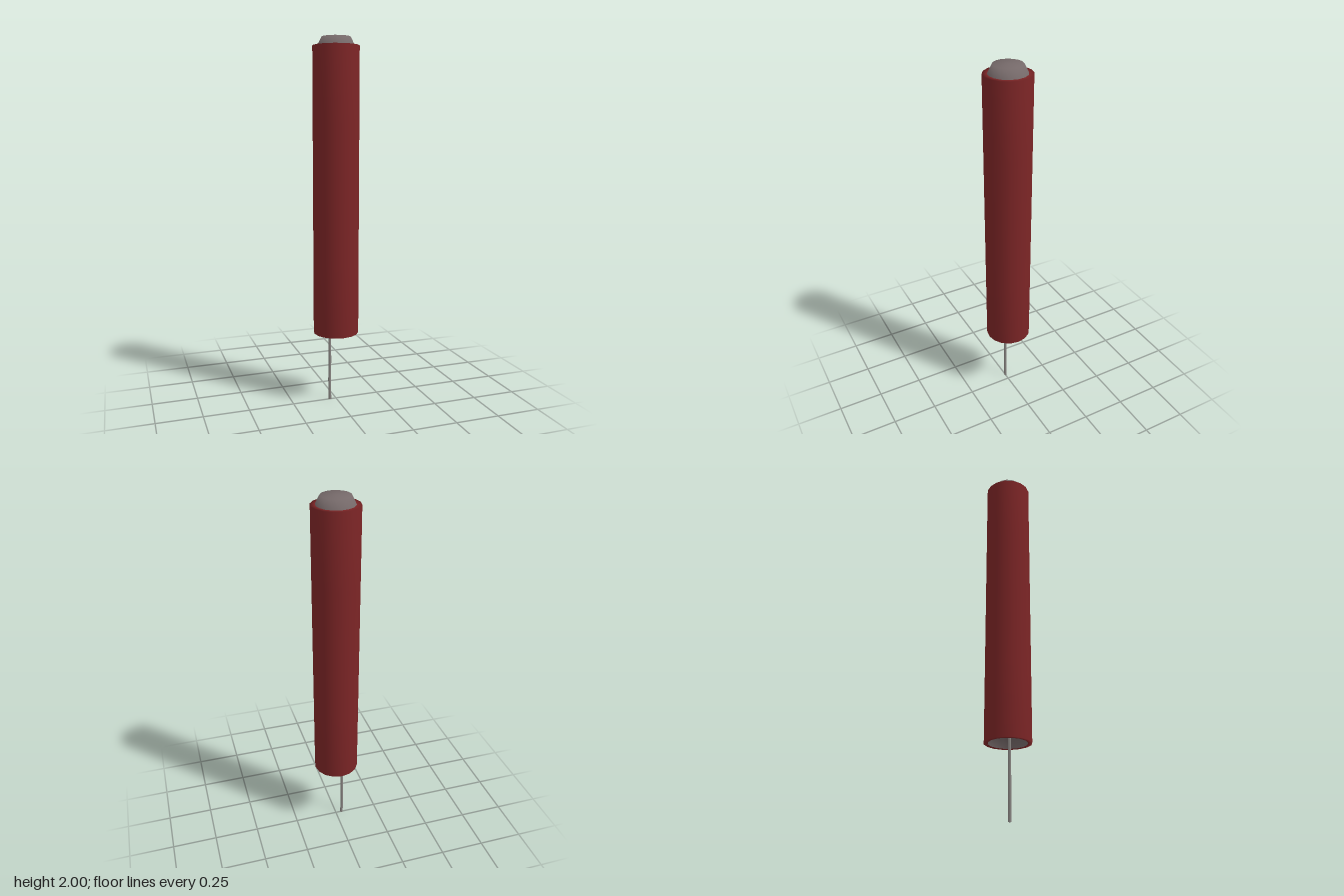
import * as THREE from 'three';

const SIDES = 16;

// Turned part; the profile runs from bottom to top so faces point outward
function turned(name, profile, material) {
  const points = profile.map(([r, y]) => new THREE.Vector2(r, y));
  const mesh = new THREE.Mesh(new THREE.LatheGeometry(points, SIDES), material);
  mesh.name = name;
  return mesh;
}

export function createModel() {
  const red = new THREE.MeshStandardMaterial({ color: 0x7c2526 });
  red.name = 'red paper';
  const grey = new THREE.MeshStandardMaterial({ color: 0x756969 });
  grey.name = 'grey plug';
  const cord = new THREE.MeshStandardMaterial({ color: 0x8a8683 });
  cord.name = 'fuse cord';

  const group = new THREE.Group();
  group.name = 'firecracker';

  // Paper tube with softly shaded rims
  group.add(turned('tube', [
    [0.104, 0.395], [0.125, 0.395], [0.125, 0.79],
    [0.125, 1.55], [0.125, 1.955], [0.1, 1.955],
  ], red));

  // Raised plug on top
  group.add(turned('topPlug', [[0.1, 1.955], [0.077, 2], [0, 2]], grey));

  // Recessed plug in the open bottom
  group.add(turned('bottomPlug', [[0, 0.46], [0.08, 0.46], [0.104, 0.395]], grey));

  // Slightly crooked fuse hanging from the recess
  const path = new THREE.CatmullRomCurve3([
    [-0.036, 0.465], [-0.037, 0.34], [-0.036, 0.22], [-0.038, 0.12], [-0.036, 0],
  ].map(([x, y]) => new THREE.Vector3(x, y, 0)));
  const fuse = new THREE.Mesh(new THREE.TubeGeometry(path, 8, 0.008, 6), cord);
  fuse.name = 'fuse';
  group.add(fuse);

  // Fuse tip
  const tip = new THREE.Mesh(new THREE.CircleGeometry(0.008, 6), cord);
  tip.name = 'fuseTip';
  tip.rotation.x = Math.PI / 2;
  tip.position.set(-0.036, 0, 0);
  group.add(tip);

  return group;
}
